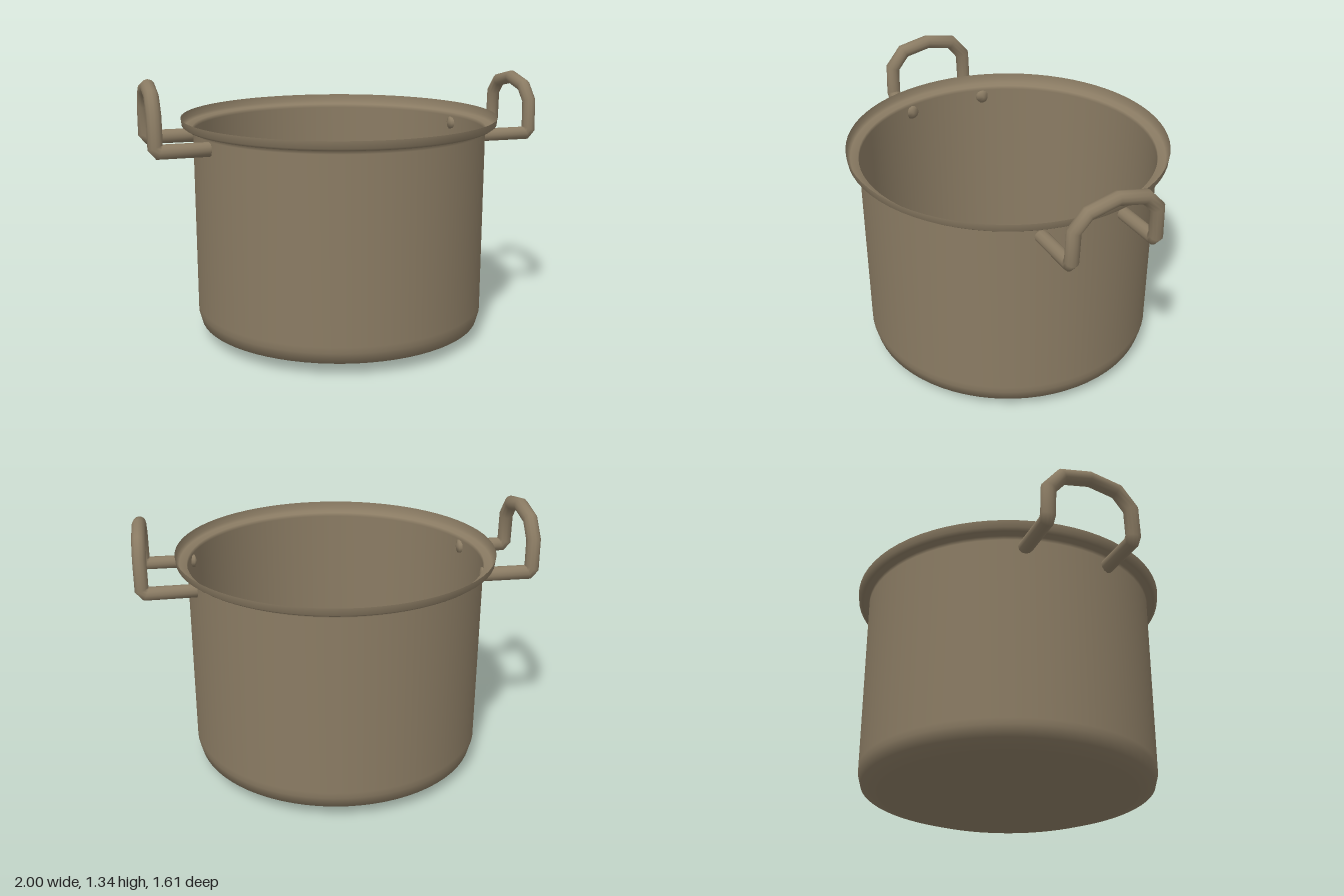
import * as THREE from 'three';

const material = new THREE.MeshStandardMaterial({ color: 0x8a7b63, side: THREE.DoubleSide });
const V = (x, y, z) => new THREE.Vector3(x, y, z);

// Round bar swept along a polyline with mitred corners and domed ends
function mitredBar(path, radius, sides = 12) {
  const positions = [], indices = [];
  const n = path.length;
  const dirs = path.slice(1).map((p, i) => p.clone().sub(path[i]).normalize());
  const u = V(0, 1, 0).cross(dirs[0]).normalize();
  const v = dirs[0].clone().cross(u);
  let ring = [];
  for (let j = 0; j < sides; j++) {
    const a = (j / sides) * Math.PI * 2;
    ring.push(path[0].clone().addScaledVector(u, Math.cos(a) * radius).addScaledVector(v, Math.sin(a) * radius));
  }
  for (let i = 0; i < n; i++) {
    if (i > 0) {
      // slide the previous ring along the segment to the mitre plane
      const d = dirs[i - 1];
      const t = d.clone().add(dirs[Math.min(i, n - 2)]).normalize();
      ring = ring.map((p) => p.clone().addScaledVector(d, path[i].clone().sub(p).dot(t) / d.dot(t)));
    }
    ring.forEach((p) => positions.push(p.x, p.y, p.z));
    if (i < n - 1) {
      for (let j = 0; j < sides; j++) {
        const a = i * sides + j, b = i * sides + (j + 1) % sides;
        indices.push(a, b, a + sides, b, b + sides, a + sides);
      }
    }
  }
  // end caps
  const start = path[0].clone().addScaledVector(dirs[0], -0.012);
  const end = path[n - 1].clone().addScaledVector(dirs[n - 2], 0.012);
  positions.push(start.x, start.y, start.z, end.x, end.y, end.z);
  const s = n * sides, last = (n - 1) * sides;
  for (let j = 0; j < sides; j++) {
    const k = (j + 1) % sides;
    indices.push(s, k, j, s + 1, last + j, last + k);
  }
  const geometry = new THREE.BufferGeometry();
  geometry.setAttribute('position', new THREE.Float32BufferAttribute(positions, 3));
  geometry.setIndex(indices);
  geometry.computeVertexNormals();
  return geometry;
}

// Upright arched handle on the side given by sign
function createHandle(sign, top, halfWidth, radius) {
  const x = 1 - radius;
  const half = [
    [0.705, 1.022, halfWidth - 0.003],
    [x - 0.02, 1.022, halfWidth],
    [x, 1.045, halfWidth],
    [x, 1.19, halfWidth - 0.005],
    [x, top - 0.065, 0.145],
  ];
  const point = (p, side) => V(sign * p[0], p[1], side * p[2]);
  const path = [
    ...half.map((p) => point(p, 1)),
    V(sign * x, top - radius, 0),
    ...half.slice().reverse().map((p) => point(p, -1)),
  ];
  const handle = new THREE.Mesh(mitredBar(path, radius), material);
  handle.name = sign > 0 ? 'leftHandle' : 'rightHandle';
  return handle;
}

export function createModel() {
  const model = new THREE.Group();
  model.name = 'cookingPot';

  // Thin-walled body with a bevelled, slightly domed base and a turned-up lip
  const profile = [
    [0, 0], [0.62, 0.028], [0.73, 0.065], [0.745, 0.12], [0.745, 0.15],
    [0.745, 1.06], [0.747, 1.08], [0.785, 1.083], [0.801, 1.095], [0.805, 1.13],
  ].map(([r, y]) => new THREE.Vector2(r, y));
  const body = new THREE.Mesh(new THREE.LatheGeometry(profile, 72), material);
  body.name = 'potBody';
  model.add(body);

  model.add(createHandle(1, 1.325, 0.216, 0.033));
  model.add(createHandle(-1, 1.34, 0.22, 0.036));
  return model;
}
